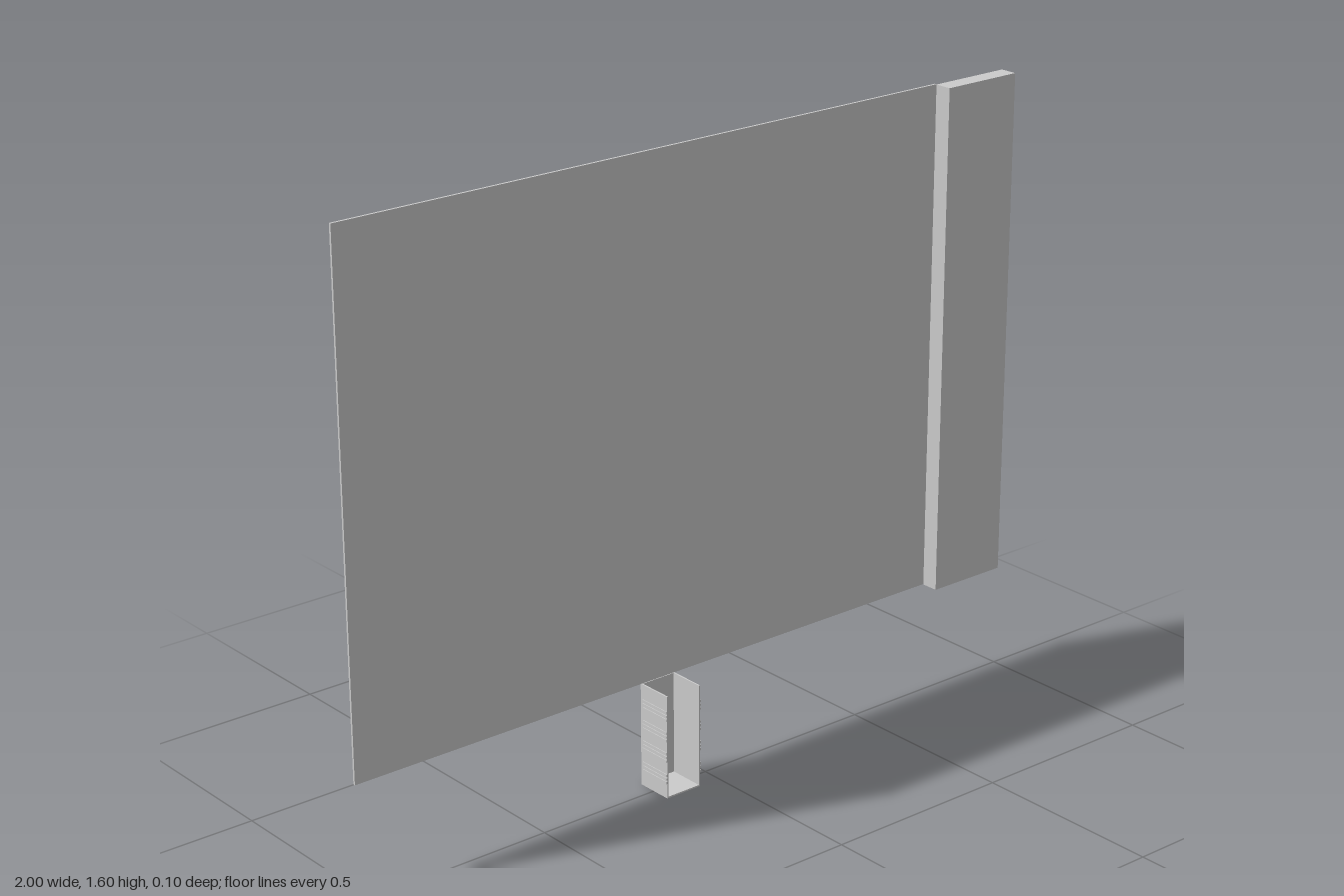
import * as THREE from 'three';

const material = new THREE.MeshStandardMaterial({ color: 0xcccccc, flatShading: true });

// Box given by its minimum and maximum corners
function box(parent, name, [x0, y0, z0], [x1, y1, z1]) {
  const mesh = new THREE.Mesh(new THREE.BoxGeometry(x1 - x0, y1 - y0, z1 - z0), material);
  mesh.position.set((x0 + x1) / 2, (y0 + y1) / 2, (z0 + z1) / 2);
  mesh.name = name;
  parent.add(mesh);
}

export function createModel() {
  const model = new THREE.Group();
  model.name = 'wallPanelWithHolder';

  // Thin sheet and the thicker strip along its left edge
  box(model, 'mainPanel', [-1, 0.272, -0.052], [0.777, 1.603, -0.046]);
  box(model, 'sideStrip', [0.775, 0.272, -0.044], [1, 1.603, 0.002]);

  // Small holder below the sheet, open at the front and top
  const holder = new THREE.Group();
  holder.name = 'holder';
  holder.position.x = -0.112;
  model.add(holder);
  const half = 0.054, top = 0.272, back = -0.048, front = 0.052, wall = 0.004;
  box(holder, 'holderBack', [-half + 0.002, 0, back], [half - 0.002, top, back + wall]);
  box(holder, 'holderFloor', [-half + 0.002, 0, back], [half - 0.002, wall, front]);

  // Side walls with four bands of fine horizontal ribs
  for (const side of [-1, 1]) {
    const sorted = (a, b) => [Math.min(a * side, b * side), Math.max(a * side, b * side)];
    const [w0, w1] = sorted(half - 0.002 - wall, half - 0.002);
    box(holder, 'holderSide', [w0, 0, back], [w1, top, front]);
    const [r0, r1] = sorted(half - 0.003, half);
    for (const y of [0.052, 0.11, 0.165, 0.22]) {
      for (const dy of [-0.01, 0, 0.01]) {
        box(holder, 'holderRib', [r0, y + dy - 0.003, -0.04], [r1, y + dy + 0.003, front]);
      }
    }
  }
  return model;
}
